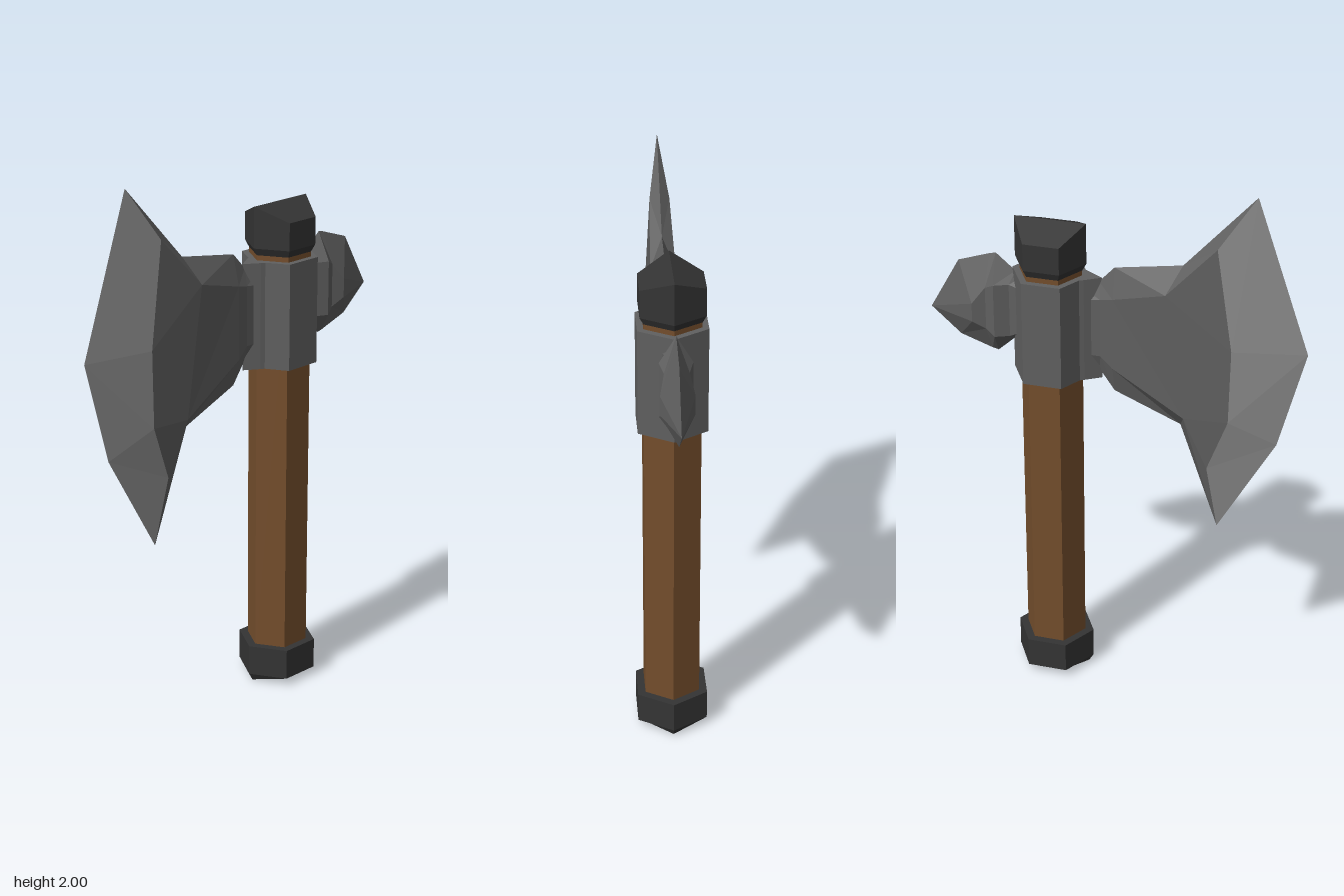
import * as THREE from 'three';

const AXIS_Z = -0.228; // handle axis

export function createModel() {
  const group = new THREE.Group();
  const material = (name, color) => {
    const m = new THREE.MeshStandardMaterial({ color });
    m.name = name;
    return m;
  };
  const steel = material('steel', 0x606060);
  const edgeSteel = material('honed edge', 0x8a8a8a);
  const wood = material('wood', 0x744e2c);
  const iron = material('dark iron', 0x343434);

  const add = (name, geometry, mat) => {
    const flat = geometry.index ? geometry.toNonIndexed() : geometry;
    flat.computeVertexNormals();
    const mesh = new THREE.Mesh(flat, mat);
    mesh.name = name;
    group.add(mesh);
  };

  // Six-sided section of the shaft; bend(y, |x|) may reshape its ends
  const hex = (name, mat, y0, y1, r0, r1, bend) => {
    const g = new THREE.CylinderGeometry(r1, r0, y1 - y0, 6);
    g.translate(0, (y0 + y1) / 2, 0);
    const p = g.attributes.position;
    if (bend) for (let i = 0; i < p.count; i++) p.setY(i, bend(p.getY(i), Math.abs(p.getX(i))));
    g.translate(0, 0, AXIS_Z);
    add(name, g, mat);
  };

  // Faces given for the +x half as [x, y, z] loops, mirrored to -x
  const mirrored = (name, mat, faces) => {
    const out = [];
    const a = new THREE.Vector3(), b = new THREE.Vector3();
    const tri = (p, q, r) => {
      a.fromArray(q).sub(new THREE.Vector3(...p));
      b.fromArray(r).sub(new THREE.Vector3(...p));
      a.cross(b);
      if (a.length() < 1e-7) return;
      if (a.x < 0) [q, r] = [r, q];
      out.push(...p, ...q, ...r);
      for (const v of [p, r, q]) out.push(-v[0], v[1], v[2]);
    };
    for (const f of faces) for (let i = 1; i < f.length - 1; i++) tri(f[0], f[i], f[i + 1]);
    const g = new THREE.BufferGeometry();
    g.setAttribute('position', new THREE.Float32BufferAttribute(out, 3));
    add(name, g, mat);
  };

  // Quads between neighbouring cross-sections
  const loft = (sections) => {
    const faces = [];
    for (let s = 0; s < sections.length - 1; s++) {
      const m = sections[s], n = sections[s + 1];
      for (let i = 0; i < m.length - 1; i++) faces.push([m[i], n[i], n[i + 1], m[i + 1]]);
    }
    return faces;
  };

  // Shaft, pommel, collar and ridged cap
  hex('handle', wood, 0.1, 1.66, 0.113, 0.113);
  hex('pommel', iron, 0.03, 0.145, 0.145, 0.145);
  hex('pommelBase', iron, 0, 0.03, 0.127, 0.145, (y, x) => (y < 0.01 ? y + 0.2 * x : y));
  hex('collar', steel, 1.245, 1.635, 0.138, 0.138);
  hex('capNeck', iron, 1.63, 1.68, 0.1, 0.128);
  hex('cap', iron, 1.68, 1.83, 0.128, 0.128, (y, x) => (y > 1.8 ? y - 0.45 * x : y));

  // Pointed nose of the collar that holds the blade
  const nose = new THREE.Shape([[-0.06, 0.15], [0.06, 0.15], [0.035, 0.1], [0, 0.045], [-0.035, 0.1]]
    .map(([x, z]) => new THREE.Vector2(x, z)));
  const noseGeometry = new THREE.ExtrudeGeometry(nose, { depth: 0.39, bevelEnabled: false });
  noseGeometry.rotateX(-Math.PI / 2).translate(0, 1.245, 0);
  add('collarNose', noseGeometry, steel);

  // Blade body: sections from collar to flare (top rim, two inner corners, bottom rim)
  const sections = [
    [[0, 1.59, -0.12], [0.02, 1.55, -0.12], [0.02, 1.34, -0.12], [0, 1.29, -0.12]],
    [[0, 1.62, -0.055], [0.022, 1.56, -0.045], [0.022, 1.34, -0.045], [0, 1.28, -0.055]],
    [[0, 1.68, 0], [0.028, 1.57, 0], [0.028, 1.3, 0], [0, 1.2, 0]],
    [[0, 1.72, 0.24], [0.045, 1.62, 0.19], [0.045, 1.15, 0.26], [0, 1.1, 0.24]],
  ];
  const topTip = [0, 2, 0.49], bottomTip = [0, 0.7, 0.38];
  const bevel = [[0.035, 1.81, 0.365], [0.05, 1.44, 0.425], [0.049, 1.16, 0.42], [0.035, 0.955, 0.345]];
  const [rimTop, innerTop, innerBottom, rimBottom] = sections[3];
  mirrored('blade', steel, [
    ...loft(sections),
    [rimTop, topTip, bevel[0], innerTop],
    [innerTop, bevel[0], bevel[1]],
    [innerTop, bevel[1], bevel[2], innerBottom],
    [innerBottom, bevel[2], bevel[3]],
    [innerBottom, bevel[3], bottomTip, rimBottom],
  ]);

  // Honed bevel along the cutting edge
  const bow = [0, 1.44, 0.68], heel = [0, 1.07, 0.585];
  mirrored('bladeEdge', edgeSteel, [
    [topTip, bow, bevel[1], bevel[0]],
    [bow, heel, bevel[2], bevel[1]],
    [heel, bottomTip, bevel[3], bevel[2]],
  ]);

  // Back spike: [rim z, side z, half width, top, side top, side bottom, bottom]
  const spike = [
    [-0.33, -0.33, 0.04, 1.6, 1.57, 1.4, 1.38],
    [-0.355, -0.37, 0.035, 1.62, 1.58, 1.38, 1.365],
    [-0.425, -0.42, 0.057, 1.68, 1.58, 1.38, 1.3],
    [-0.447, -0.455, 0.042, 1.675, 1.56, 1.4, 1.305],
    [-0.563, -0.5, 0.058, 1.635, 1.5, 1.43, 1.345],
    [-0.67, -0.67, 0, 1.44, 1.44, 1.44, 1.44],
  ].map(([z, sideZ, x, a, b, c, d]) => [[0, a, z], [x, b, sideZ], [x, c, sideZ], [0, d, z]]);
  mirrored('backSpike', steel, loft(spike));

  return group;
}
